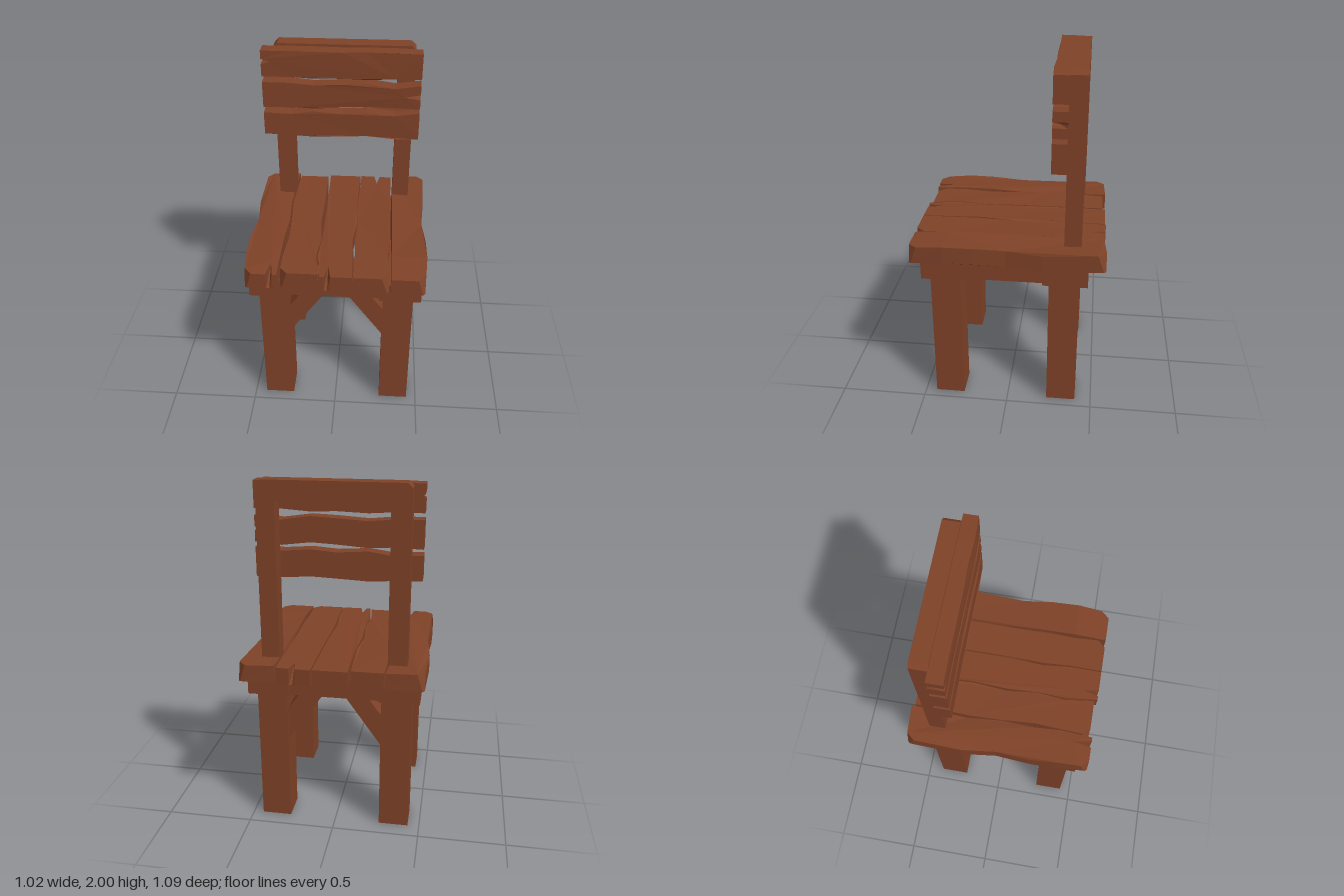
import * as THREE from 'three';

const wood = new THREE.MeshStandardMaterial({ color: 0x7f4228, flatShading: true });

// Solid between two matching outlines; place(u, v, side) maps them into space
function prism(face, back, place) {
  const f = face.map(([u, v]) => new THREE.Vector2(u, v));
  const b = back.map(([u, v]) => new THREE.Vector2(u, v));
  const pos = [];
  const put = (list, i, side) => pos.push(...place(list[i].x, list[i].y, side));
  for (const [i, j, k] of THREE.ShapeUtils.triangulateShape(f, [])) {
    put(f, i, 1); put(f, j, 1); put(f, k, 1);
  }
  for (const [i, j, k] of THREE.ShapeUtils.triangulateShape(b, [])) {
    put(b, k, 0); put(b, j, 0); put(b, i, 0);
  }
  for (let i = 0; i < f.length; i++) {
    const j = (i + 1) % f.length;
    put(b, i, 0); put(b, j, 0); put(f, j, 1);
    put(b, i, 0); put(f, j, 1); put(f, i, 1);
  }
  const g = new THREE.BufferGeometry();
  g.setAttribute('position', new THREE.Float32BufferAttribute(pos, 3));
  g.computeVertexNormals();
  return g;
}

// Linear interpolation through stations
function lerpAt(xs, ys, x) {
  let i = 0;
  while (i < xs.length - 2 && x > xs[i + 1]) i++;
  const t = THREE.MathUtils.clamp((x - xs[i]) / (xs[i + 1] - xs[i]), 0, 1);
  return ys[i] + (ys[i + 1] - ys[i]) * t;
}

export function createModel() {
  const model = new THREE.Group();
  const add = (name, geometry, parent = model) => {
    const mesh = new THREE.Mesh(geometry, wood);
    mesh.name = name;
    parent.add(mesh);
    return mesh;
  };
  const box = (name, x0, x1, y0, y1, z0, z1, parent) => add(name,
    new THREE.BoxGeometry(x1 - x0, y1 - y0, z1 - z0)
      .translate((x0 + x1) / 2, (y0 + y1) / 2, (z0 + z1) / 2), parent);
  const extrude = (name, points, z0, z1, parent) => add(name,
    new THREE.ExtrudeGeometry(new THREE.Shape(points.map(p => new THREE.Vector2(...p))),
      { depth: z1 - z0, bevelEnabled: false }).translate(0, 0, z0), parent);

  // Legs with diagonal braces at front and back
  for (const [end, z0, z1] of [['front', 0.265, 0.435], ['back', -0.405, -0.235]]) {
    box(end + 'RightLeg', -0.433, -0.262, 0, 0.9, z0, z1);
    box(end + 'LeftLeg', 0.272, 0.443, 0, 0.9, z0, z1);
    extrude(end + 'RightBrace', [[-0.265, 0.515], [-0.05, 0.82], [-0.05, 0.86],
      [-0.15, 0.86], [-0.265, 0.705]], z0 + 0.01, z1 - 0.01);
    extrude(end + 'LeftBrace', [[0.275, 0.515], [0.275, 0.705], [0.16, 0.86],
      [0.06, 0.86], [0.06, 0.82]], z0 + 0.01, z1 - 0.01);
  }

  // Apron under the seat: thicker corners joined by rails
  const apron = new THREE.Group();
  apron.name = 'apron';
  model.add(apron);
  box('frontRail', -0.25, 0.25, 0.815, 0.93, 0.24, 0.457, apron);
  box('backRail', -0.25, 0.25, 0.815, 0.93, -0.432, -0.215, apron);
  for (const s of [-1, 1]) {
    const x0 = s < 0 ? -0.46 : 0.25, x1 = s < 0 ? -0.25 : 0.46;
    box('sideRail', x0, x1, 0.815, 0.93, -0.24, 0.24, apron);
    const c0 = s < 0 ? -0.48 : 0.25, c1 = s < 0 ? -0.25 : 0.485;
    box('frontCorner', c0, c1, 0.815, 0.93, 0.2, 0.478, apron);
    box('backCorner', c0, c1, 0.815, 0.93, -0.452, -0.2, apron);
  }

  // Seat planks: wavy edges, warped height, chipped corners and split ends
  const zs = [-0.53, -0.2, 0, 0.19, 0.35, 0.54];
  const flat = [0, 0.004, -0.004, 0, 0.003, 0];
  const warp = [0.008, -0.008, 0, 0.008, 0.012, 0];
  const planks = [
    { l: [-0.505, -0.512, -0.49, -0.505, -0.503, -0.49], r: [-0.297, -0.315, -0.3, -0.31, -0.302, -0.31],
      back: [-0.525, -0.535], front: 0.54, dy: warp, chips: ['bl', 'fl'], split: [-0.353, 0.11, 1] },
    { l: [-0.287, -0.302, -0.295, -0.282, -0.295, -0.297], r: [-0.11, -0.097, -0.112, -0.093, -0.11, -0.087],
      back: [-0.518, -0.518], front: 0.522, dy: flat, chips: ['fl'] },
    { l: [-0.095, -0.09, -0.097, -0.09, -0.1, -0.078], r: [0.1, 0.097, 0.105, 0.085, 0.1, 0.1],
      back: [-0.535, -0.535], front: 0.54, dy: flat, chips: [], split: [-0.035, 0.09, 1] },
    { l: [0.108, 0.1, 0.107, 0.1, 0.108, 0.107], r: [0.3, 0.297, 0.302, 0.302, 0.293, 0.302],
      back: [-0.54, -0.532], front: 0.54, dy: flat, chips: ['fr'], split: [0.21, 0.085, -1] },
    { l: [0.31, 0.305, 0.308, 0.31, 0.312, 0.312], r: [0.508, 0.5, 0.487, 0.505, 0.51, 0.5],
      back: [-0.53, -0.545], front: 0.54, dy: [0.008, 0.02, -0.015, 0, 0.01, 0.018, -0.003], 
      zs: [-0.53, -0.37, -0.2, 0, 0.15, 0.3, 0.54], chips: ['br', 'fr'] },
  ];
  const seat = new THREE.Group();
  seat.name = 'seat';
  model.add(seat);
  planks.forEach((p) => {
    const top = [], bottom = [];
    const point = (x, z, bx = x, bz = z) => { top.push([x, -z]); bottom.push([bx, -bz]); };
    const corner = (key, x, z, sx, sz, alongFirst) => {
      if (!p.chips.includes(key)) return point(x, z);
      const pts = [[x - sx * 0.04, z], [x, z - sz * 0.045]];
      for (const [a, b] of alongFirst ? pts : pts.reverse()) {
        point(a, b, x + (a - x) * 0.25, z + (b - z) * 0.25);
      }
    };
    const split = (dir) => {
      if (!p.split || p.split[2] !== dir) return;
      const [x, depth] = p.split, z = dir > 0 ? p.front : p.back[0] + 0.003;
      point(x - dir * 0.018, z);
      point(x, z - dir * depth, x, z - dir * 0.004);
      point(x + dir * 0.018, z);
    };
    corner('fl', p.l[5], p.front, -1, 1, false);
    split(1);
    corner('fr', p.r[5], p.front, 1, 1, true);
    for (let i = 4; i > 0; i--) point(p.r[i], zs[i]);
    corner('br', p.r[0], p.back[1], 1, -1, false);
    split(-1);
    corner('bl', p.l[0], p.back[0], -1, -1, true);
    for (let i = 1; i < 5; i++) point(p.l[i], zs[i]);
    add('seatPlank', prism(top, bottom, (u, v, side) =>
      [u, (side ? 1.019 : 0.922) + lerpAt(p.zs || zs, p.dy, -v), -v]), seat);
  });

  // Backrest frame: two posts joined by a top beam, outer corners cut
  extrude('backFrame', [[-0.402, 0.95], [-0.295, 0.95], [-0.295, 1.89], [0.308, 1.89], [0.308, 0.95],
    [0.408, 0.95], [0.408, 1.975], [0.382, 2], [-0.376, 2], [-0.402, 1.975]], -0.407, -0.312);

  // Backrest slats with wavy edges and cracked ends
  const xs = [-0.461, -0.3, -0.17, 0, 0.14, 0.3, 0.445];
  const slats = [
    { lo: [1.835, 1.835, 1.826, 1.832, 1.826, 1.837, 1.835],
      hi: [1.985, 1.987, 1.987, 1.984, 1.987, 1.987, 1.982], crack: [-1, 1.922, 0.05] },
    { lo: [1.645, 1.65, 1.642, 1.655, 1.662, 1.642, 1.655],
      hi: [1.8, 1.798, 1.785, 1.795, 1.802, 1.778, 1.798], crack: [1, 1.727, 0.09] },
    { lo: [1.475, 1.468, 1.46, 1.468, 1.474, 1.462, 1.462],
      hi: [1.612, 1.605, 1.624, 1.612, 1.624, 1.61, 1.628] },
  ];
  const bow = [0.004, 0, -0.002, 0.002, -0.003, 0.003, -0.002];
  slats.forEach(({ lo, hi, crack }) => {
    const front = [], back = [];
    const point = (x, y, bx = x) => { front.push([x, y]); back.push([bx, y]); };
    const notch = (s) => {
      if (!crack || crack[0] !== s) return;
      const [, y, depth] = crack, x = s > 0 ? xs[6] : xs[0];
      point(x, y - s * 0.016);
      point(x - s * depth, y, x - s * 0.008);
      point(x, y + s * 0.016);
    };
    xs.forEach((x, i) => point(x, lo[i]));
    notch(1);
    for (let i = 6; i >= 0; i--) point(xs[i], hi[i]);
    notch(-1);
    add('backSlat', prism(front, back, (u, v, side) =>
      [u, v, side ? -0.231 + lerpAt(xs, bow, u) : -0.313]));
  });

  return model;
}
